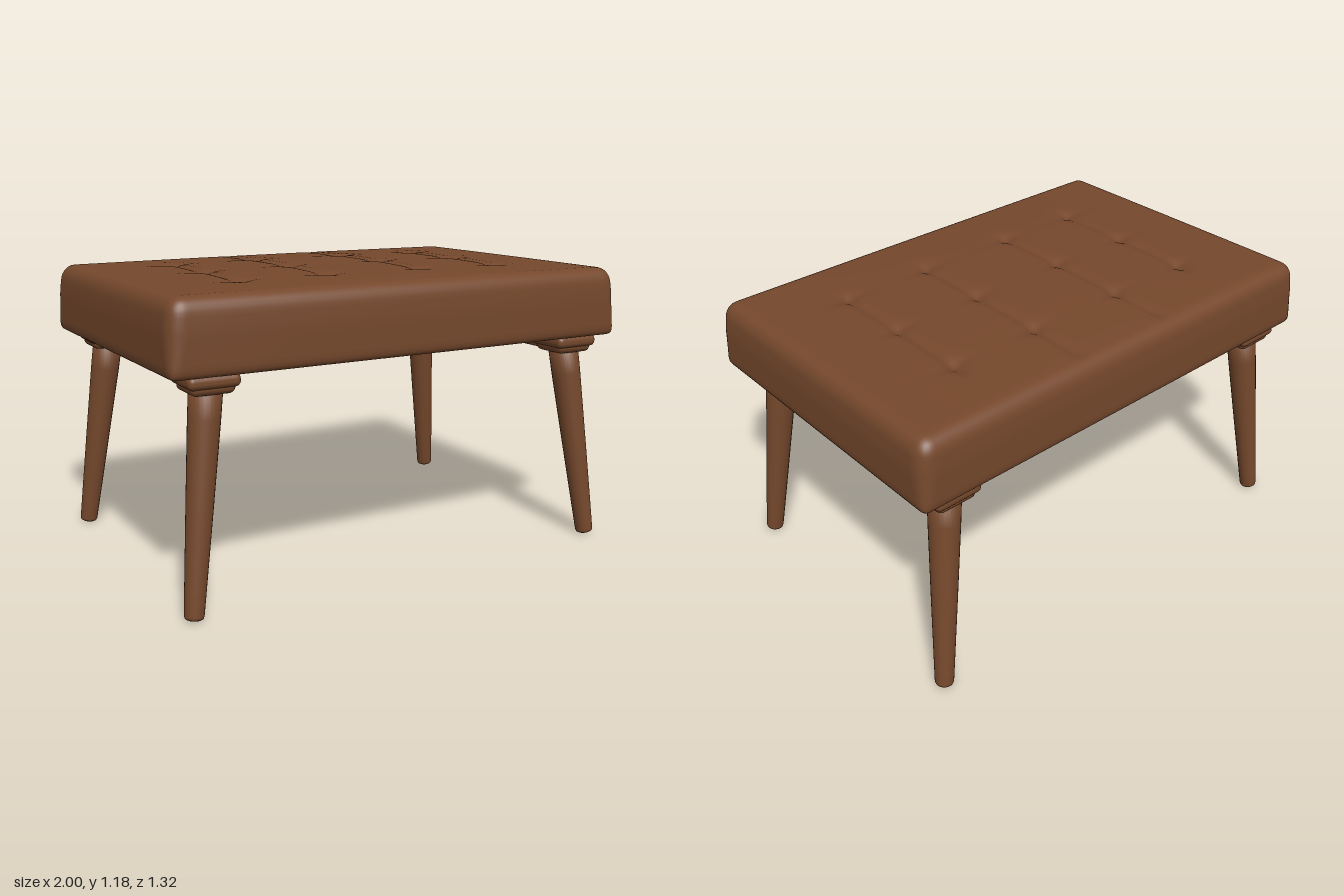
import * as THREE from 'three';
import { mergeVertices } from 'three/addons/utils/BufferGeometryUtils.js';
import { RoundedBoxGeometry } from 'three/addons/geometries/RoundedBoxGeometry.js';

const leather = new THREE.MeshStandardMaterial({ color: 0x75482c });
leather.name = 'brown';

const CUSHION = { x: 1, z: 0.66, bottom: 0.88, top: 1.163 };
const COLUMNS = [-0.6, -0.22, 0.22, 0.61];
const ROWS = [-0.34, 0, 0.33];
const bell = (d, width) => Math.exp(-(d * d) / (width * width));

// Height offset of the upholstered top: a slight crown, stitched columns and button dimples
function tufting(x, z) {
  let h = 0.016 * Math.max(0, 1 - x * x) * Math.max(0, 1 - (z / 0.66) ** 2);
  for (const cx of COLUMNS) {
    const end = Math.abs(cx) < 0.4 ? -0.58 : -0.4;
    const along = THREE.MathUtils.smoothstep(z, end - 0.05, end + 0.03)
      * (1 - THREE.MathUtils.smoothstep(z, 0.33, 0.4));
    h -= 0.009 * along * bell(x - cx, 0.018);
    for (const cz of ROWS) {
      h -= 0.01 * bell(Math.hypot(x - cx, z - cz), 0.045);
      h -= 0.004 * bell(x - cx, 0.1) * bell(z - cz, 0.02);
    }
  }
  return h;
}

// Dense box rounded by a rule, soft above and tighter below
function cushionGeometry() {
  const height = CUSHION.top - CUSHION.bottom;
  const box = new THREE.BoxGeometry(2, height, 1.32, 130, 16, 88);
  box.deleteAttribute('uv');
  box.deleteAttribute('normal');
  const geometry = mergeVertices(box, 1e-5);
  const p = geometry.attributes.position;
  const v = new THREE.Vector3();
  const core = new THREE.Vector3();
  for (let i = 0; i < p.count; i++) {
    v.fromBufferAttribute(p, i);
    const onTop = v.y > height / 2 - 1e-4;
    const r = v.y > 0 ? 0.058 : 0.03 + 0.028 * (1 + v.y / (height / 2));
    const limit = (n, half) => THREE.MathUtils.clamp(n, r - half, half - r);
    core.set(limit(v.x, 1), limit(v.y, height / 2), limit(v.z, 0.66));
    v.sub(core).setLength(r).add(core);
    if (onTop) v.y += tufting(v.x, v.z);
    // Sides lean in slightly towards the top
    const lean = 1 - 0.012 * THREE.MathUtils.smoothstep(v.y, 0, height / 2);
    p.setXYZ(i, v.x * lean, v.y + (CUSHION.top + CUSHION.bottom) / 2, v.z * lean);
  }
  geometry.computeVertexNormals();
  return geometry;
}

// Tapered, softly ended leg standing on its foot
function legGeometry(length) {
  const profile = [[0, 0], [0.027, 0], [0.034, 0.004], [0.037, 0.014], [0.04, 0.1],
    [0.05, 0.4], [0.06, 0.72], [0.062, length], [0, length]];
  return new THREE.LatheGeometry(profile.map(([r, y]) => new THREE.Vector2(r, y)), 28);
}

export function createModel() {
  const model = new THREE.Group();
  const add = (name, geometry, x = 0, y = 0, z = 0) => {
    const mesh = new THREE.Mesh(geometry, leather);
    mesh.name = name;
    mesh.position.set(x, y, z);
    model.add(mesh);
    return mesh;
  };

  add('tuftedCushion', cushionGeometry());

  const up = new THREE.Vector3(0, 1, 0);
  for (const sx of [-1, 1]) {
    const side = sx > 0 ? 'left' : 'right';
    // Side rail joining the two leg mounts
    add(side + 'Rail', new RoundedBoxGeometry(0.11, 0.046, 1.06, 4, 0.02), sx * 0.82, 0.836, 0);
    add(side + 'RailCap', new RoundedBoxGeometry(0.075, 0.05, 1.1, 3, 0.012), sx * 0.82, 0.868, 0);

    for (const sz of [-1, 1]) {
      const corner = side + (sz > 0 ? 'Front' : 'Back');
      // Stepped mount under the cushion
      add(corner + 'MountPlate', new RoundedBoxGeometry(0.2, 0.05, 0.19, 4, 0.022), sx * 0.822, 0.86, sz * 0.538);
      add(corner + 'MountBlock', new RoundedBoxGeometry(0.17, 0.055, 0.165, 4, 0.024), sx * 0.822, 0.838, sz * 0.538);

      // Splayed leg
      const foot = new THREE.Vector3(sx * 0.925, 0.004, sz * 0.618);
      const head = new THREE.Vector3(sx * 0.822, 0.83, sz * 0.538);
      const axis = head.clone().sub(foot);
      const leg = add(corner + 'Leg', legGeometry(axis.length()), foot.x, foot.y, foot.z);
      leg.quaternion.setFromUnitVectors(up, axis.normalize());
    }
  }
  return model;
}
